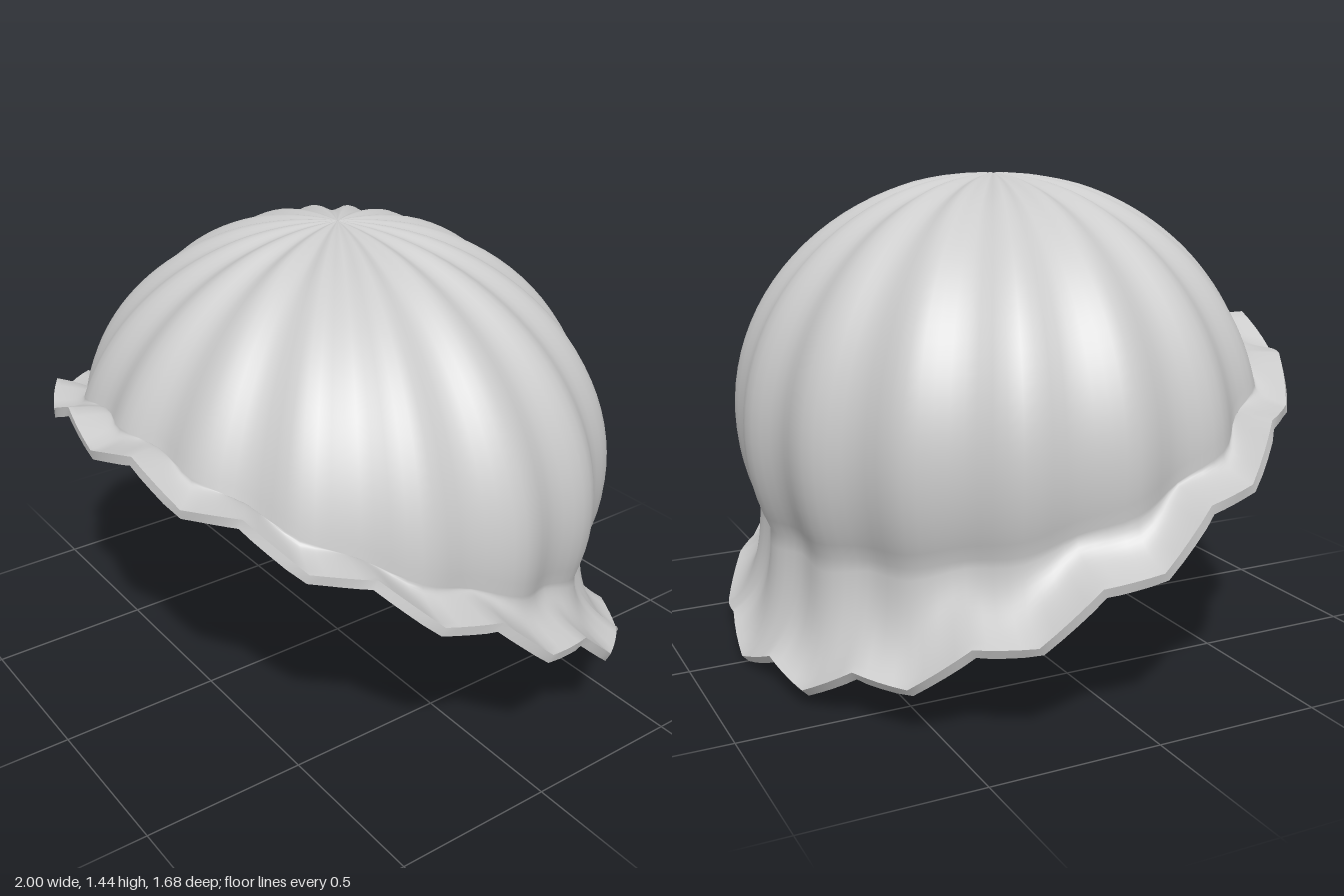
import * as THREE from 'three';

const SEG = 128, DOME_ROWS = 30, BRIM_ROWS = 12, ROWS = DOME_ROWS + BRIM_ROWS;
const LOBES = 16, THICK = 0.028;

// triangle wave: +1 on each lobe, -1 between lobes
function zigzag(a) {
  const f = ((a * LOBES) / (2 * Math.PI)) % 1;
  return Math.abs(f - 0.5) * 4 - 1;
}

// ribbed ellipsoid crown
function domePoint(a, phi) {
  const rib = 1 + 0.02 * Math.cos(LOBES * a) * Math.min(1, phi / 0.35);
  const s = Math.sin(phi) * rib;
  return new THREE.Vector3(
    0.857 * s * Math.sin(a),
    0.68 + 0.735 * Math.cos(phi) * (1 + (rib - 1) * 0.6),
    0.785 * s * Math.cos(a));
}

// slanted wavy edge of the brim
function rimPoint(a) {
  const w = zigzag(a), r = 1 + 0.008 * (w - 1);
  return new THREE.Vector3(
    r * Math.sin(a), 0.485 + 0.455 * Math.cos(a) - 0.03 * w, 0.84 * r * Math.cos(a));
}

// one point on the outer skin: crown rows first, then the flaring brim
function skinPoint(a, row) {
  const c = Math.cos(a);
  const neckY = 0.57 + 0.285 * c + 0.095 * c * c;
  const phiEnd = Math.acos((neckY - 0.68) / 0.735);
  if (row <= DOME_ROWS) return domePoint(a, phiEnd * row / DOME_ROWS);
  const t = (row - DOME_ROWS) / BRIM_ROWS;
  const neck = domePoint(a, phiEnd), rim = rimPoint(a);
  const bend = neck.clone();
  bend.y = THREE.MathUtils.lerp(rim.y, neck.y, 0.25);
  return neck.multiplyScalar((1 - t) * (1 - t))
    .addScaledVector(bend, 2 * t * (1 - t))
    .addScaledVector(rim, t * t);
}

// closed-ring grid from a list of rings of points
function ringSurface(rings, flip) {
  const pos = [], index = [];
  rings.forEach(ring => ring.forEach(p => pos.push(p.x, p.y, p.z)));
  for (let i = 0; i < rings.length - 1; i++) {
    for (let j = 0; j < SEG; j++) {
      const k = (j + 1) % SEG;
      const a = i * SEG + j, b = a + SEG, c = i * SEG + k, d = c + SEG;
      if (flip) index.push(a, c, b, c, d, b);
      else index.push(a, b, c, c, b, d);
    }
  }
  const g = new THREE.BufferGeometry();
  g.setAttribute('position', new THREE.Float32BufferAttribute(pos, 3));
  g.setIndex(index);
  g.computeVertexNormals();
  return g;
}

export function createModel() {
  const group = new THREE.Group();
  group.name = 'scallopedBonnet';
  const grey = new THREE.MeshStandardMaterial({ color: 0xcccccc, side: THREE.DoubleSide });
  grey.name = 'light grey';

  const outer = [];
  for (let i = 0; i <= ROWS; i++) {
    const ring = [];
    for (let j = 0; j < SEG; j++) {
      ring.push(skinPoint(j / SEG * Math.PI * 2, Math.max(i, 0.05)));
    }
    outer.push(ring);
  }
  const outerGeo = ringSurface(outer, false);

  // lining: the outer skin pushed inward along its normals
  const n = outerGeo.attributes.normal;
  const inner = outer.map((ring, i) => ring.map((p, j) =>
    p.clone().addScaledVector(new THREE.Vector3().fromBufferAttribute(n, i * SEG + j), -THICK)));

  const add = (name, geo) => {
    const m = new THREE.Mesh(geo, grey);
    m.name = name;
    group.add(m);
  };
  add('crownAndBrim', outerGeo);
  add('lining', ringSurface(inner, true));
  add('brimEdge', ringSurface([outer[ROWS], inner[ROWS]], false));

  // rest the lowest edge on the ground
  const box = new THREE.Box3().setFromObject(group);
  group.children.forEach(m => m.geometry.translate(0, -box.min.y, 0));
  return group;
}
